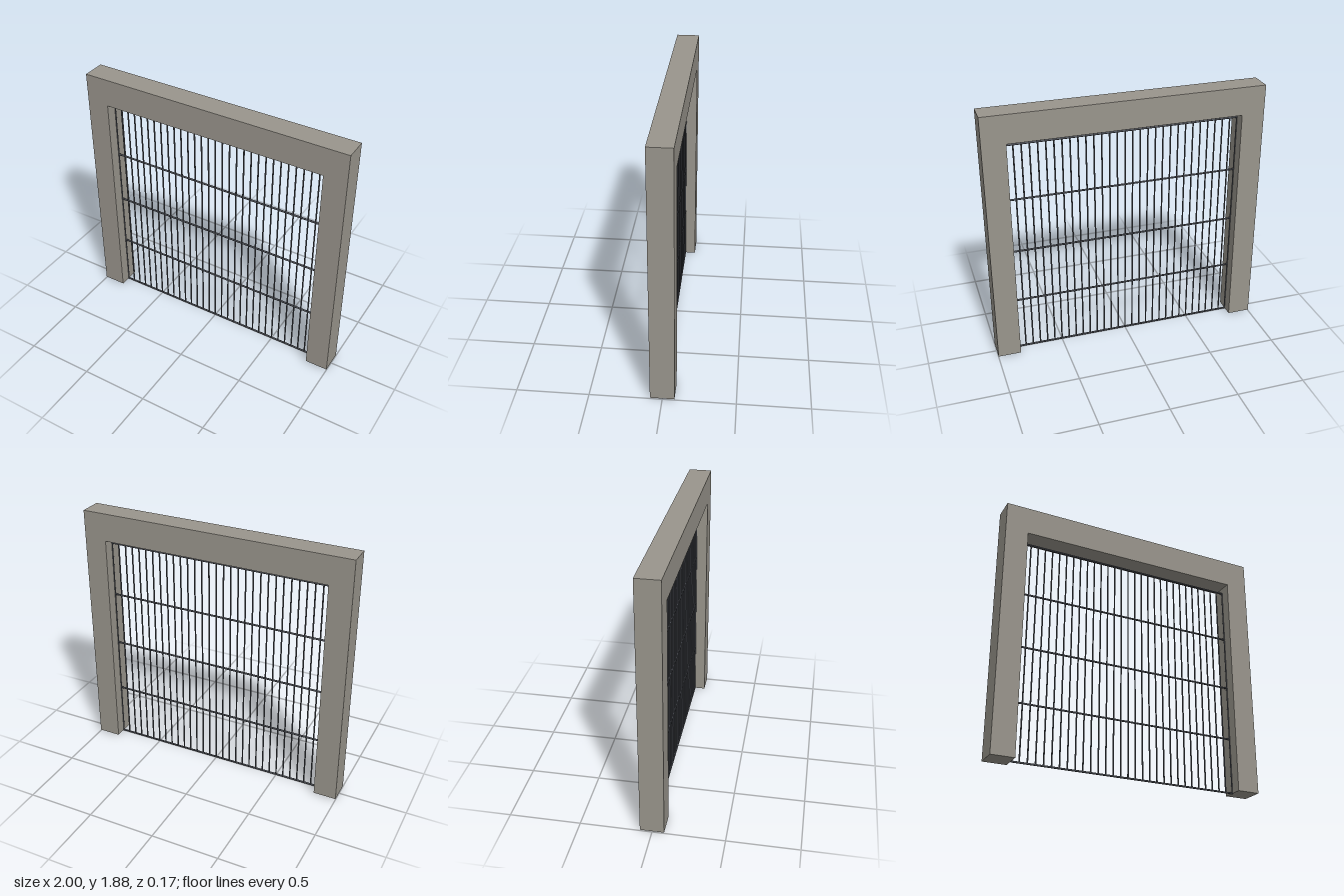
import * as THREE from 'three';

export function createModel() {
  const stone = new THREE.MeshStandardMaterial({ color: 0x99958c });
  stone.name = 'stone grey';
  const iron = new THREE.MeshStandardMaterial({ color: 0x50535a });
  iron.name = 'dark iron';

  const base = 0.007, top = 1.88, openingTop = 1.675;
  const outer = 1, inner = 0.8333, depth = 0.1667;
  const model = new THREE.Group();
  model.name = 'gateway';

  // Stone surround: two posts joined by a lintel
  const outline = new THREE.Shape([
    [-outer, base], [-inner, base], [-inner, openingTop], [inner, openingTop],
    [inner, base], [outer, base], [outer, top], [-outer, top],
  ].map(([x, y]) => new THREE.Vector2(x, y)));
  const frameGeometry = new THREE.ExtrudeGeometry(outline, { depth, bevelEnabled: false });
  frameGeometry.translate(0, 0, -depth / 2);
  const frame = new THREE.Mesh(frameGeometry, stone);
  frame.name = 'doorFrame';
  model.add(frame);

  // Iron grille filling the opening
  const grille = new THREE.Group();
  grille.name = 'grille';
  model.add(grille);
  const grilleHeight = 1.626;

  // Upright bars
  const uprightCount = 31;
  const uprightGeometry = new THREE.CylinderGeometry(0.0055, 0.0055, grilleHeight, 8);
  for (let i = 0; i < uprightCount; i++) {
    const bar = new THREE.Mesh(uprightGeometry, iron);
    bar.name = 'uprightBar';
    bar.position.set(-inner + (2 * inner * i) / (uprightCount - 1), base + grilleHeight / 2, 0);
    grille.add(bar);
  }

  // Cross bars
  const crossCount = 5;
  const crossGeometry = new THREE.CylinderGeometry(0.007, 0.007, inner * 2, 8).rotateZ(Math.PI / 2);
  for (let i = 0; i < crossCount; i++) {
    const bar = new THREE.Mesh(crossGeometry, iron);
    bar.name = 'crossBar';
    bar.position.y = base + (grilleHeight * i) / (crossCount - 1);
    grille.add(bar);
  }

  return model;
}
